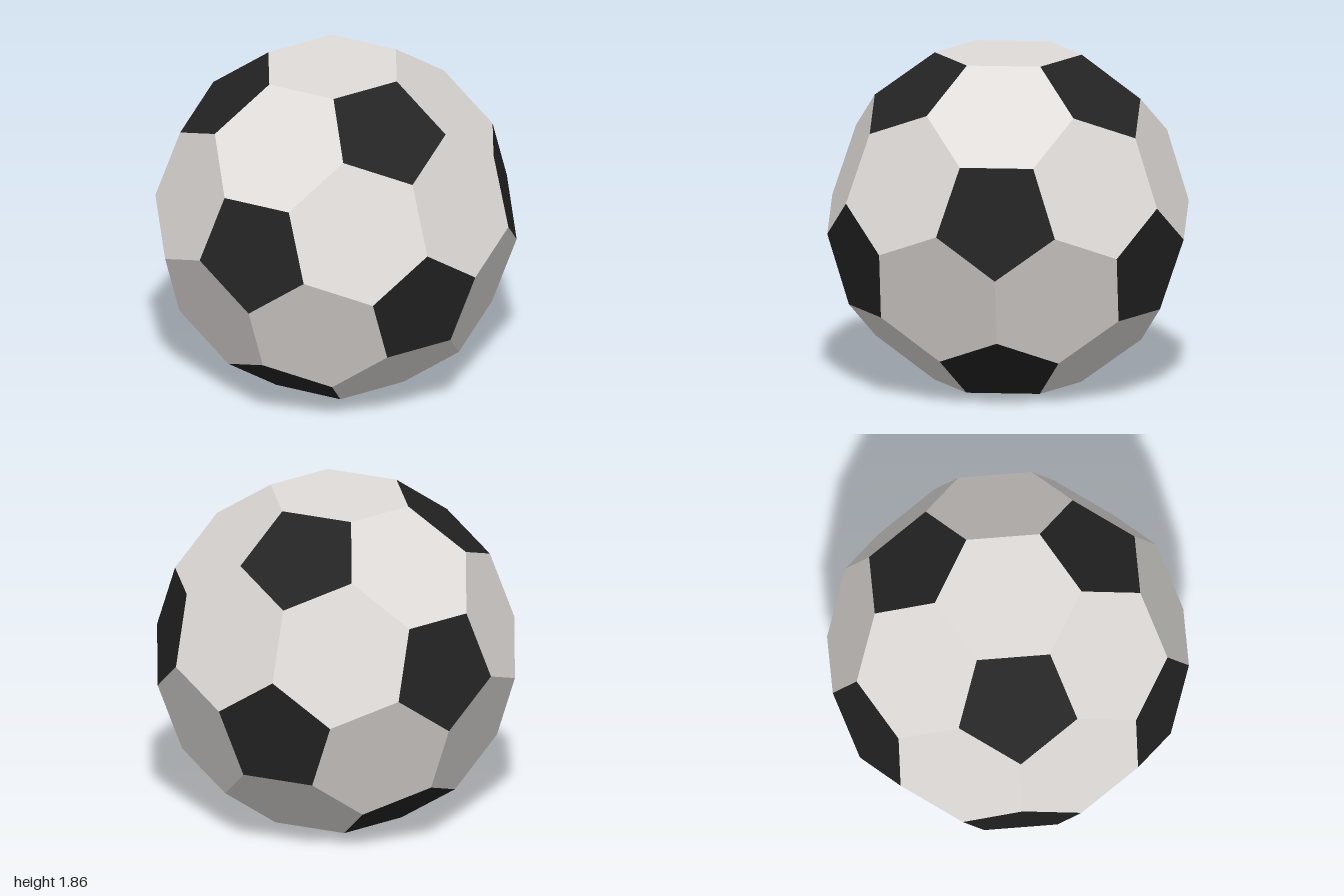
import * as THREE from 'three';

const white = new THREE.MeshStandardMaterial({ color: 0xe0dcd9 });
white.name = 'off-white panel';
const black = new THREE.MeshStandardMaterial({ color: 0x242424 });
black.name = 'black panel';

// Flat convex panel: corners sorted anticlockwise around the outward normal, then fanned
function panel(corners, material, name) {
  const n = corners.length;
  const center = corners.reduce((s, p) => s.add(p), new THREE.Vector3()).divideScalar(n);
  const normal = center.clone().normalize();
  const u = corners[0].clone().sub(center).normalize();
  const v = normal.clone().cross(u);
  const angle = (p) => Math.atan2(p.clone().sub(center).dot(v), p.clone().sub(center).dot(u));
  const ring = [...corners].sort((p, q) => angle(p) - angle(q));
  const points = [];
  for (let i = 0; i < n; i++) points.push(center, ring[i], ring[(i + 1) % n]);
  const geometry = new THREE.BufferGeometry().setFromPoints(points);
  geometry.computeVertexNormals();
  const mesh = new THREE.Mesh(geometry, material);
  mesh.name = name;
  return mesh;
}

export function createModel() {
  const phi = (1 + Math.sqrt(5)) / 2;
  const radius = 1.01;
  const tilt = THREE.MathUtils.degToRad(-19.72);

  // Icosahedron corners, scaled so that the cut corners lie on the radius
  const tips = [];
  for (const a of [-1, 1]) {
    for (const b of [-phi, phi]) {
      tips.push(new THREE.Vector3(b, a, 0), new THREE.Vector3(0, b, a), new THREE.Vector3(a, 0, b));
    }
  }
  const cutLength = tips[0].clone().lerp(new THREE.Vector3(tips[0].x, -tips[0].y, 0), 1 / 3).length();
  const scale = radius / cutLength;
  const near = (p, q) => p !== q && p.distanceTo(q) < 2.1 * scale;
  const cut = (p, q) => p.clone().lerp(q, 1 / 3);
  tips.forEach((p) => p.multiplyScalar(scale).applyAxisAngle(new THREE.Vector3(0, 0, 1), tilt));

  const ball = new THREE.Group();
  ball.name = 'ball';

  // A black pentagon where each corner is cut off
  for (const p of tips) {
    const corners = tips.filter((q) => near(p, q)).map((q) => cut(p, q));
    ball.add(panel(corners, black, 'pentagonPanel'));
  }

  // A white hexagon on what is left of each triangle
  tips.forEach((p, i) => {
    for (let j = i + 1; j < tips.length; j++) {
      for (let k = j + 1; k < tips.length; k++) {
        const q = tips[j], r = tips[k];
        if (!near(p, q) || !near(q, r) || !near(r, p)) continue;
        const corners = [cut(p, q), cut(q, p), cut(q, r), cut(r, q), cut(r, p), cut(p, r)];
        ball.add(panel(corners, white, 'hexagonPanel'));
      }
    }
  });

  // Rest the ball on the ground
  ball.position.y = -new THREE.Box3().setFromObject(ball).min.y;
  const model = new THREE.Group();
  model.name = 'facetedBall';
  model.add(ball);
  return model;
}
